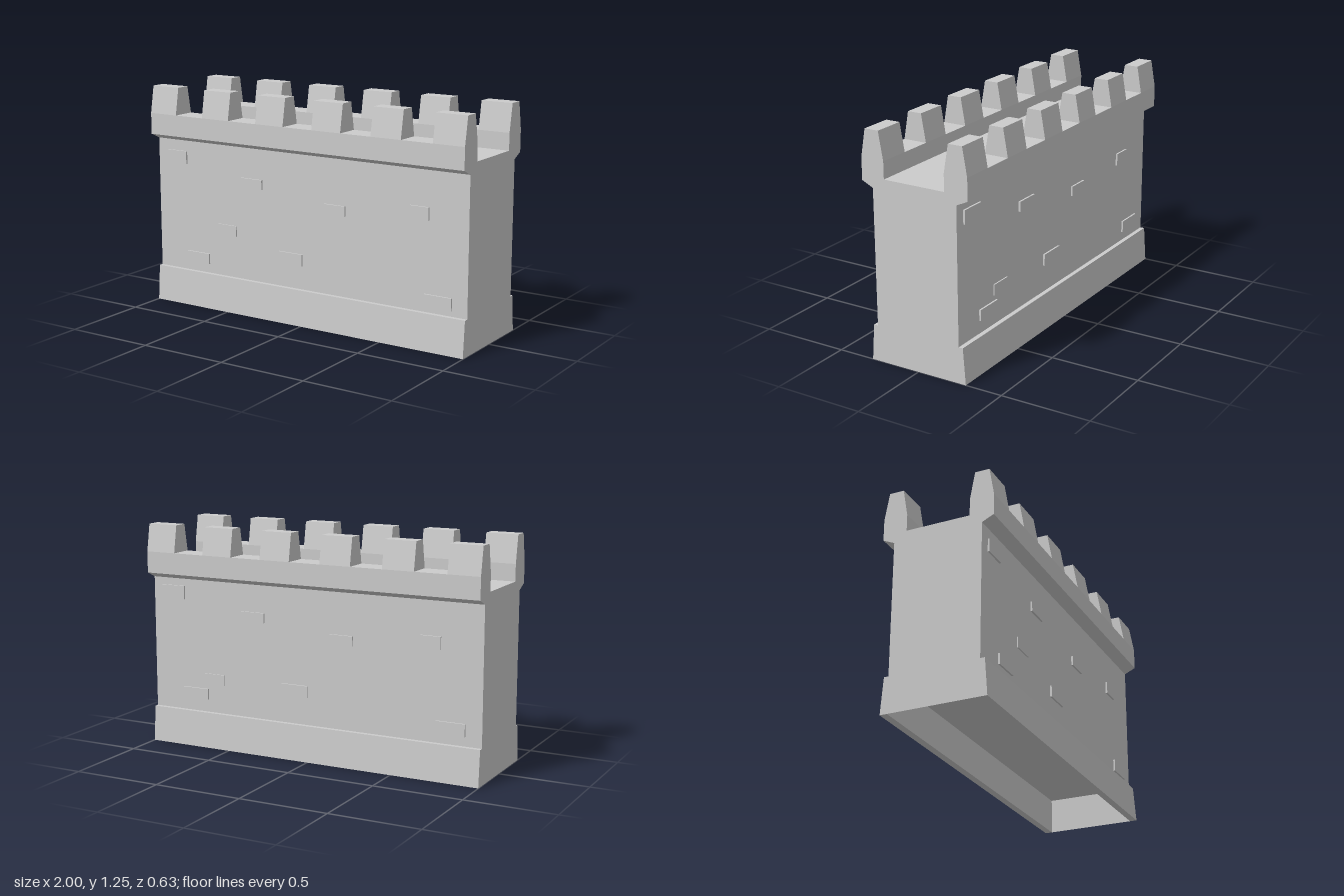
import * as THREE from 'three';

const material = new THREE.MeshStandardMaterial({ color: 0xcccccc, flatShading: true, side: THREE.DoubleSide });

export function createModel() {
  const model = new THREE.Group();
  model.name = 'battlementWall';

  const add = (geometry, name) => {
    const mesh = new THREE.Mesh(geometry, material);
    mesh.name = name;
    model.add(mesh);
    return mesh;
  };

  // Sweeps a (z, y) cross-section along x, centred on the given x
  const sweep = (points, length, x, name) => {
    const shape = new THREE.Shape(points.map(([z, y]) => new THREE.Vector2(-z, y)));
    const geometry = new THREE.ExtrudeGeometry(shape, { depth: length, bevelEnabled: false });
    geometry.rotateY(Math.PI / 2).translate(x - length / 2, 0, 0);
    return add(geometry, name);
  };
  const mirror = (points, side) => points.map(([z, y]) => [z * side, y]);

  // Wall body with the walkway and overhanging parapets
  const half = [[0.25, 0.2], [0.25, 0.95], [0.315, 0.98], [0.315, 1.1], [0.18, 1.1], [0.18, 1.006]];
  sweep([...half, ...mirror(half, -1).reverse()], 2, 0, 'wallBody');

  // Sloped plinth and merlons on both faces
  const plinth = [[0.25, 0], [0.29, 0], [0.275, 0.2], [0.25, 0.2]];
  const merlon = [[0.18, 1.1], [0.315, 1.1], [0.288, 1.253], [0.207, 1.253]];
  for (const side of [1, -1]) {
    const face = side > 0 ? 'front' : 'back';
    sweep(mirror(plinth, side), 2, 0, face + 'Plinth');
    for (let i = 0; i < 6; i++) {
      sweep(mirror(merlon, side), 0.18, -0.91 + i * 0.364, face + 'Merlon');
    }
  }

  // Thin end panels closing the hollow base, which is open below
  for (const side of [1, -1]) {
    const panel = new THREE.PlaneGeometry(0.5, 0.2);
    panel.rotateY(side * Math.PI / 2).translate(side, 0.1, 0);
    add(panel, side > 0 ? 'leftBasePanel' : 'rightBasePanel');
  }

  // Raised stones: x, y, width, height, projection
  const frontStones = [
    [-0.865, 0.853, 0.135, 0.073, 0.01], [-0.345, 0.753, 0.14, 0.055, 0.01],
    [0.2, 0.672, 0.13, 0.055, 0.01], [0.715, 0.722, 0.112, 0.07, 0.01],
    [-0.088, 0.365, 0.157, 0.065, 0.01], [-0.725, 0.282, 0.155, 0.06, 0.01],
    [0.83, 0.264, 0.16, 0.068, 0.01], [-0.52, 0.468, 0.13, 0.06, 0.007],
  ];
  const backStones = [
    [0.87, 0.872, 0.145, 0.075, 0.01], [0.355, 0.77, 0.145, 0.055, 0.01],
    [-0.19, 0.692, 0.135, 0.055, 0.01], [-0.707, 0.73, 0.115, 0.07, 0.01],
    [0.73, 0.302, 0.16, 0.06, 0.01], [0.61, 0.392, 0.13, 0.06, 0.007],
    [0.095, 0.386, 0.16, 0.065, 0.01], [-0.825, 0.286, 0.165, 0.068, 0.01],
  ];
  const placeStones = (stones, side, name) => {
    for (const [x, y, width, height, depth] of stones) {
      add(new THREE.BoxGeometry(width, height, depth), name)
        .position.set(x, y, side * (0.25 + depth / 2));
    }
  };
  placeStones(frontStones, 1, 'frontStone');
  placeStones(backStones, -1, 'backStone');

  return model;
}
